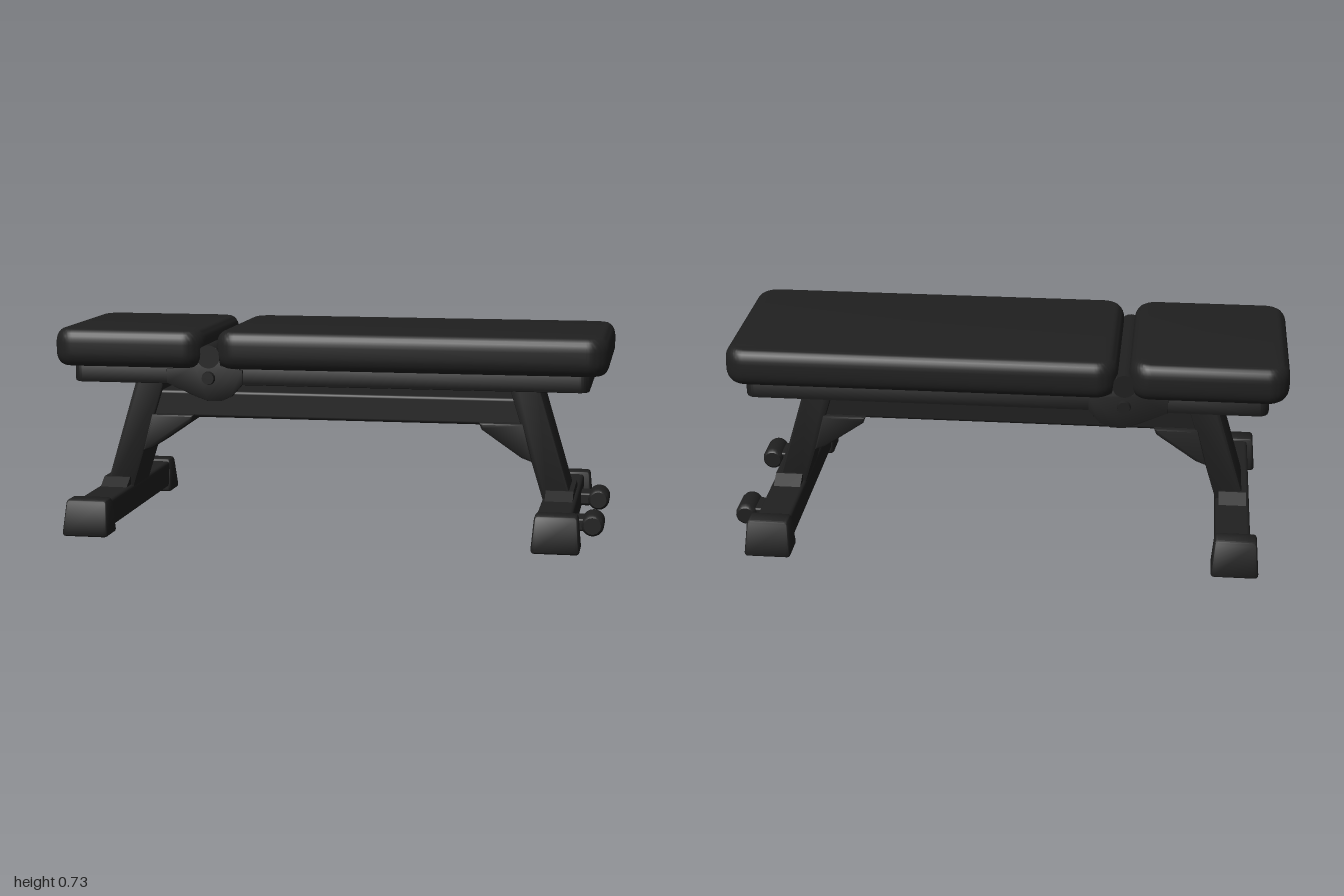
import * as THREE from 'three';
import { toCreasedNormals } from 'three/addons/utils/BufferGeometryUtils.js';
import { RoundedBoxGeometry } from 'three/addons/geometries/RoundedBoxGeometry.js';

const black = new THREE.MeshStandardMaterial({ color: 0x202020 });
black.name = 'matte black';

// Rounded rectangle in plan; path y becomes -z once laid flat
function roundedRect(x0, x1, halfZ, r, Type = THREE.Shape) {
  const s = new Type();
  s.moveTo(x0 + r, -halfZ);
  s.lineTo(x1 - r, -halfZ);
  s.absarc(x1 - r, -halfZ + r, r, -Math.PI / 2, 0);
  s.lineTo(x1, halfZ - r);
  s.absarc(x1 - r, halfZ - r, r, 0, Math.PI / 2);
  s.lineTo(x0 + r, halfZ);
  s.absarc(x0 + r, halfZ - r, r, Math.PI / 2, Math.PI);
  s.lineTo(x0, -halfZ + r);
  s.absarc(x0 + r, -halfZ + r, r, Math.PI, Math.PI * 1.5);
  return s;
}

// Side profile (x, y) extruded across z, centred on z
function profile(points, width, z = 0, bevel = 0.008) {
  const g = new THREE.ExtrudeGeometry(new THREE.Shape(points.map(p => new THREE.Vector2(...p))), {
    depth: width - 2 * bevel, bevelEnabled: bevel > 0, bevelThickness: bevel,
    bevelSize: bevel, bevelOffset: -bevel, bevelSegments: 2,
  });
  g.translate(0, 0, z - width / 2 + bevel);
  return toCreasedNormals(g, 0.6);
}

export function createModel() {
  const bench = new THREE.Group();
  bench.name = 'adjustableBench';
  const add = (name, geometry, parent = bench) => {
    const m = new THREE.Mesh(geometry, black);
    m.name = name;
    parent.add(m);
    return m;
  };
  const box = (name, x, y, z, w, h, d, r, parent) =>
    add(name, new RoundedBoxGeometry(w, h, d, 3, r).translate(x, y, z), parent);

  // Upholstered pads
  function pad(name, x0, x1) {
    const g = new THREE.ExtrudeGeometry(roundedRect(x0 + 0.035, x1 - 0.035, 0.3, 0.045), {
      depth: 0.035, bevelThickness: 0.05, bevelSize: 0.035, bevelSegments: 6, curveSegments: 8,
    });
    g.rotateX(-Math.PI / 2).translate(0, 0.64, 0);
    add(name, toCreasedNormals(g, 0.8));
  }
  pad('seatPad', -1, -0.44);
  pad('backPad', -0.4, 1);

  // Hollow support frames under the pads
  function frame(name, x0, x1) {
    const s = roundedRect(x0, x1, 0.28, 0.03);
    s.holes.push(roundedRect(x0 + 0.07, x1 - 0.07, 0.21, 0.015, THREE.Path));
    const g = new THREE.ExtrudeGeometry(s, {
      depth: 0.065, bevelThickness: 0.008, bevelSize: 0.008, bevelSegments: 2, curveSegments: 6,
    });
    g.rotateX(-Math.PI / 2).translate(0, 0.538, 0);
    add(name, toCreasedNormals(g, 0.7));
  }
  frame('seatFrame', -0.925, -0.49);
  frame('backFrame', -0.36, 0.925);

  // Hinge between the pads
  add('hingeRod', new THREE.CylinderGeometry(0.042, 0.042, 0.6, 20)
    .rotateX(Math.PI / 2).translate(-0.425, 0.632, 0));
  for (const s of [-1, 1]) {
    add('hingePlate', profile([[-0.58, 0.535], [-0.48, 0.49], [-0.43, 0.472], [-0.38, 0.472],
      [-0.34, 0.49], [-0.3, 0.535], [-0.3, 0.585], [-0.38, 0.6], [-0.395, 0.665],
      [-0.455, 0.665], [-0.48, 0.6], [-0.58, 0.585]], 0.016, s * 0.29, 0.003));
    add('hingeBolt', new THREE.CylinderGeometry(0.022, 0.026, 0.02, 16)
      .rotateX(s * Math.PI / 2).translate(-0.425, 0.555, s * 0.302));
  }

  // Long beam joining the legs
  box('mainBeam', 0, 0.43, 0, 1.4, 0.1, 0.19, 0.012);

  // Rear and front supports, mirrored along x
  for (const s of [-1, 1]) {
    const support = new THREE.Group();
    support.name = s < 0 ? 'seatSupport' : 'backSupport';
    bench.add(support);
    const mirror = pts => pts.map(([x, y]) => [s * x, y]);

    add('leg', profile(mirror([[0.885, 0.06], [0.78, 0.06], [0.645, 0.5], [0.645, 0.595],
      [0.715, 0.595], [0.745, 0.53]]), 0.216), support);
    add('gusset', profile(mirror([[0.725, 0.25], [0.685, 0.265], [0.54, 0.365],
      [0.53, 0.39], [0.69, 0.39]]), 0.226), support);
    box('footBar', s * 0.825, 0.07, 0, 0.125, 0.1, 0.9, 0.012, support);

    // Weld fillet where the leg meets the foot bar
    const weld = new THREE.BoxGeometry(0.1, 0.05, 0.4);
    const wp = weld.attributes.position;
    for (let i = 0; i < wp.count; i++) if (wp.getY(i) > 0) wp.setZ(i, wp.getZ(i) * 0.58);
    weld.computeVertexNormals();
    add('legWeld', weld.translate(s * 0.825, 0.125, 0), support);

    for (const t of [-1, 1]) {
      // End cap: top slopes in on the outer face and slightly in x
      const cap = new RoundedBoxGeometry(0.17, 0.13, 0.125, 3, 0.014);
      const p = cap.attributes.position;
      for (let i = 0; i < p.count; i++) {
        const k = (p.getY(i) + 0.065) / 0.13;
        const outer = (p.getZ(i) * t + 0.0625) / 0.125;
        p.setX(i, p.getX(i) * (1 - 0.13 * k));
        p.setZ(i, p.getZ(i) + t * k * (0.02 - 0.052 * outer));
      }
      cap.computeVertexNormals();
      add('footCap', toCreasedNormals(cap, 0.8).translate(s * 0.835, 0.065, t * 0.4425), support);

      // Transport wheels only under the back end
      if (s > 0) {
        const wheel = new THREE.LatheGeometry([[0, -0.067], [0.03, -0.067], [0.037, -0.06],
          [0.04, -0.045], [0.04, 0.045], [0.037, 0.06], [0.03, 0.067], [0, 0.067]]
          .map(q => new THREE.Vector2(...q)), 20);
        add('wheel', toCreasedNormals(wheel, 0.7).rotateX(Math.PI / 2)
          .translate(0.953, 0.064, t * 0.24), support);
        box('wheelBracket', 0.905, 0.064, t * 0.24, 0.07, 0.045, 0.1, 0.008, support);
      }
    }
  }
  return bench;
}
